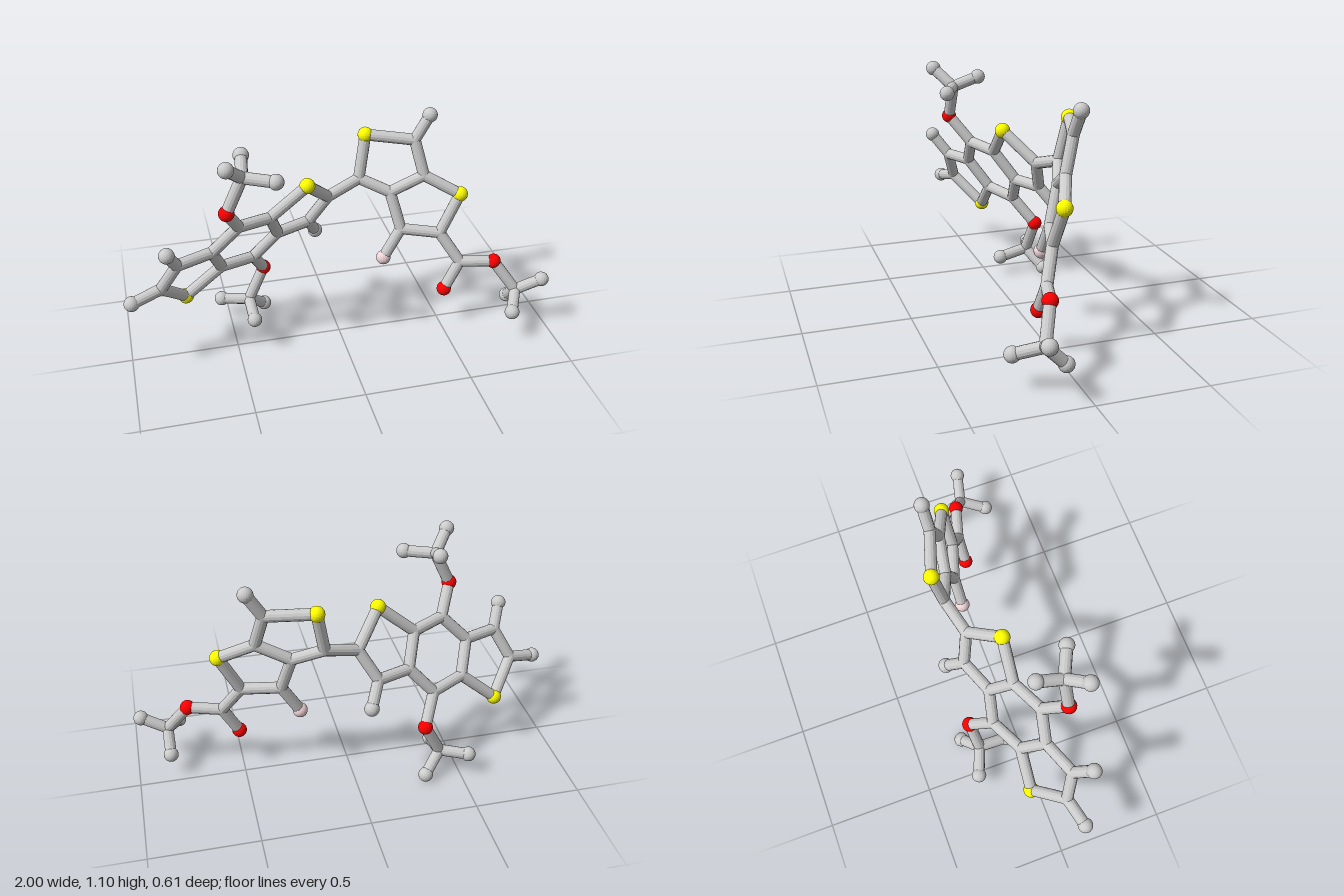
import * as THREE from 'three';

const mat = (color) => new THREE.MeshStandardMaterial({ color, flatShading: true });
const BOND_RADIUS = 0.027;

// Both ring systems are flat: depth follows from x and y
const wide = (x, y) => [x, y, -0.4065 * x + 0.5517 * y - 0.5105];
const small = (x, y) => [x, y, 0.288 * x - 0.2187 * y - 0.0423];

// Atoms: id -> [kind, position]
const ATOMS = {
  // three fused rings
  s1: ['sulfur', wide(-0.72, 0.286)],
  a1: ['carbon', wide(-0.835, 0.423)],
  a2: ['carbon', wide(-0.757, 0.565)],
  a3: ['carbon', wide(-0.596, 0.57)],
  a4: ['carbon', wide(-0.548, 0.43)],
  a5: ['carbon', wide(-0.472, 0.697)],
  a6: ['carbon', wide(-0.319, 0.682)],
  a7: ['carbon', wide(-0.271, 0.542)],
  a8: ['carbon', wide(-0.388, 0.412)],
  a9: ['carbon', wide(-0.11, 0.547)],
  a10: ['carbon', wide(-0.025, 0.691)],
  s2: ['sulfur', wide(-0.147, 0.826)],
  e1: ['end', wide(-0.97, 0.39)],
  e2: ['end', wide(-0.80, 0.666)],
  e3: ['end', wide(-0.062, 0.446)],
  // upper side group
  o1: ['oxygen', wide(-0.532, 0.824)],
  m1: ['carbon', [-0.457, 0.985, 0.157]],
  m1a: ['end', [-0.531, 1.067, 0.235]],
  m1b: ['end', [-0.44, 1.03, 0.037]],
  m1c: ['end', [-0.324, 0.981, 0.222]],
  // lower side group
  o2: ['oxygen', wide(-0.326, 0.284)],
  m2: ['carbon', [-0.407, 0.122, -0.202]],
  m2a: ['end', [-0.324, 0.039, -0.268]],
  m2b: ['end', [-0.404, 0.09, -0.064]],
  m2c: ['end', [-0.537, 0.111, -0.252]],
  // two fused rings
  b1: ['carbon', small(0.136, 0.742)],
  s3: ['sulfur', small(0.174, 0.948)],
  b2: ['carbon', small(0.393, 0.928)],
  b3: ['carbon', small(0.43, 0.762)],
  b4: ['carbon', small(0.275, 0.68)],
  b5: ['carbon', small(0.318, 0.502)],
  b6: ['carbon', small(0.495, 0.486)],
  s4: ['sulfur', small(0.591, 0.676)],
  e4: ['end', small(0.463, 1.043)],
  f: ['fluorine', small(0.233, 0.358)],
  // right-hand tail
  t1: ['carbon', small(0.585, 0.345)],
  o3: ['oxygen', small(0.51, 0.206)],
  o4: ['oxygen', small(0.741, 0.35)],
  m3: ['carbon', [0.842, 0.206, 0.15]],
  m3a: ['end', [0.961, 0.265, 0.178]],
  m3b: ['end', [0.842, 0.115, 0.06]],
  m3c: ['end', [0.783, 0.163, 0.268]],
};

// Chains of bonded atoms
const CHAINS = [
  's1 a1 a2 a3 a4 s1', 'a3 a5 a6 a7 a8 a4', 'a7 a9 a10 s2 a6',
  'a1 e1', 'a2 e2', 'a9 e3',
  'a5 o1 m1 m1a', 'm1b m1 m1c', 'a8 o2 m2 m2a', 'm2b m2 m2c',
  'a10 b1 s3 b2 b3 b4 b1', 'b4 b5 b6 s4 b3', 'b2 e4', 'b5 f',
  'b6 t1 o3', 't1 o4 m3 m3a', 'm3b m3 m3c',
];

export function createModel() {
  const model = new THREE.Group();
  model.name = 'molecule';

  const grey = mat(0xcccccc);
  const ball = (radius) => new THREE.SphereGeometry(radius, 20, 14);
  const KINDS = {
    carbon: [ball(BOND_RADIUS), grey],
    end: [ball(0.035), grey],
    sulfur: [ball(0.036), mat(0xffff00)],
    oxygen: [ball(0.035), mat(0xff0000)],
    fluorine: [ball(0.035), mat(0xf0d4d8)],
  };

  // Atoms
  const atoms = new THREE.Group();
  atoms.name = 'atoms';
  for (const [kind, position] of Object.values(ATOMS)) {
    const mesh = new THREE.Mesh(...KINDS[kind]);
    mesh.name = kind === 'end' ? 'hydrogenAtom' : `${kind}Atom`;
    mesh.position.set(...position);
    atoms.add(mesh);
  }

  // Bonds
  const bonds = new THREE.Group();
  bonds.name = 'bonds';
  const up = new THREE.Vector3(0, 1, 0);
  for (const chain of CHAINS) {
    const points = chain.split(' ').map((id) => new THREE.Vector3(...ATOMS[id][1]));
    for (let i = 1; i < points.length; i++) {
      const along = points[i].clone().sub(points[i - 1]);
      const rod = new THREE.CylinderGeometry(BOND_RADIUS, BOND_RADIUS, along.length(), 14, 1, true);
      const mesh = new THREE.Mesh(rod, grey);
      mesh.name = 'bond';
      mesh.position.copy(points[i]).add(points[i - 1]).multiplyScalar(0.5);
      mesh.quaternion.setFromUnitVectors(up, along.normalize());
      bonds.add(mesh);
    }
  }

  model.add(atoms, bonds);
  return model;
}
